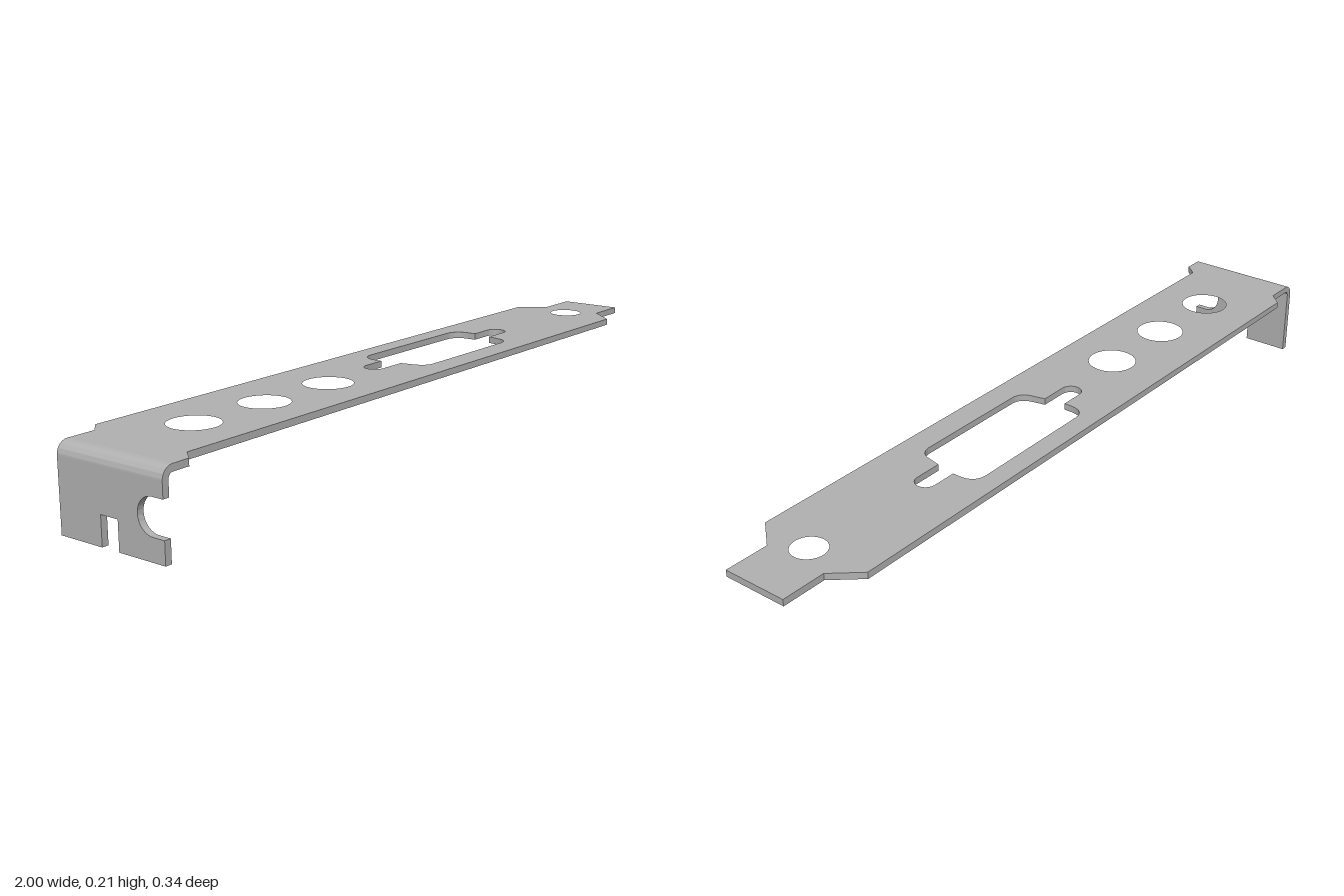
import * as THREE from 'three';
import { toCreasedNormals } from 'three/addons/utils/BufferGeometryUtils.js';

const T = 0.017;              // sheet thickness
const TOP = 0.206;            // height of the upper face
const R = 0.03;               // outer bend radius
const Z0 = -0.137, Z1 = 0.171; // depth range of the bent tab

export function createModel() {
  const group = new THREE.Group();
  const steel = new THREE.MeshStandardMaterial({ color: 0xb0b0b0 });
  steel.name = 'grey steel';

  const add = (name, shape, depth) => {
    const geo = new THREE.ExtrudeGeometry(shape, { depth, bevelEnabled: false, curveSegments: 20 });
    const mesh = new THREE.Mesh(toCreasedNormals(geo, 0.6), steel);
    mesh.name = name;
    group.add(mesh);
    return mesh;
  };
  const points = (list) => list.map(([x, z]) => new THREE.Vector2(x, -z));

  // Long flat plate, drawn as (x, z)
  const plate = new THREE.Shape(points([
    [R - 1, Z0], [-0.896, Z0], [-0.863, -0.171], [0.826, -0.171], [0.885, -0.102], [1, -0.102],
    [1, 0.068], [0.885, 0.068], [0.826, 0.137], [-0.896, 0.137], [-0.925, Z1], [R - 1, Z1],
  ]));

  // Three socket holes and the screw hole
  for (const [x, r] of [[-0.727, 0.062], [-0.5, 0.062], [-0.273, 0.062], [0.837, 0.043]]) {
    plate.holes.push(new THREE.Path().absarc(x, 0.01, r, 0, Math.PI * 2, true));
  }

  // Connector opening: rounded trapezoid with a round-ended slot on each side
  const c = 0.206, s = 0.027, slotY = 0.026, end = 0.303 - s;
  const port = new THREE.Path();
  port.moveTo(c + 0.213, slotY + s);
  port.lineTo(c + 0.213, 0.078);
  port.quadraticCurveTo(c + 0.21, 0.118, c + 0.17, 0.118);
  port.lineTo(c - 0.17, 0.118);
  port.quadraticCurveTo(c - 0.21, 0.118, c - 0.213, 0.078);
  port.lineTo(c - 0.213, slotY + s);
  port.lineTo(c - end, slotY + s);
  port.absarc(c - end, slotY, s, Math.PI / 2, Math.PI * 1.5, false);
  port.lineTo(c - 0.203, slotY - s);
  port.lineTo(c - 0.195, -0.038);
  port.quadraticCurveTo(c - 0.188, -0.07, c - 0.155, -0.07);
  port.lineTo(c + 0.155, -0.07);
  port.quadraticCurveTo(c + 0.188, -0.07, c + 0.195, -0.038);
  port.lineTo(c + 0.203, slotY - s);
  port.lineTo(c + end, slotY - s);
  port.absarc(c + end, slotY, s, -Math.PI / 2, Math.PI / 2, false);
  port.closePath();
  plate.holes.push(port);

  const plateMesh = add('plate', plate, T);
  plateMesh.rotation.x = -Math.PI / 2;
  plateMesh.position.y = TOP - T;

  // Rounded bend joining plate and tab
  const bend = new THREE.Shape();
  bend.absarc(R - 1, TOP - R, R, Math.PI / 2, Math.PI, false);
  bend.absarc(R - 1, TOP - R, R - T, Math.PI, Math.PI / 2, true);
  bend.closePath();
  add('bend', bend, Z1 - Z0).position.z = Z0;

  // Upright end tab, drawn as (z, y), with a square slot and a round side notch
  const tab = new THREE.Shape();
  tab.moveTo(Z0, 0);
  tab.lineTo(-0.0125, 0);
  tab.lineTo(-0.0125, 0.071);
  tab.lineTo(0.038, 0.071);
  tab.lineTo(0.038, 0);
  tab.lineTo(Z1, 0);
  tab.lineTo(Z1, 0.054);
  tab.lineTo(0.139, 0.054);
  tab.absarc(0.139, 0.0965, 0.0425, -Math.PI / 2, Math.PI / 2, true);
  tab.lineTo(Z1, 0.139);
  tab.lineTo(Z1, TOP - R);
  tab.lineTo(Z0, TOP - R);
  tab.closePath();
  const tabMesh = add('endTab', tab, T);
  tabMesh.rotation.y = -Math.PI / 2;
  tabMesh.position.x = T - 1;

  return group;
}
